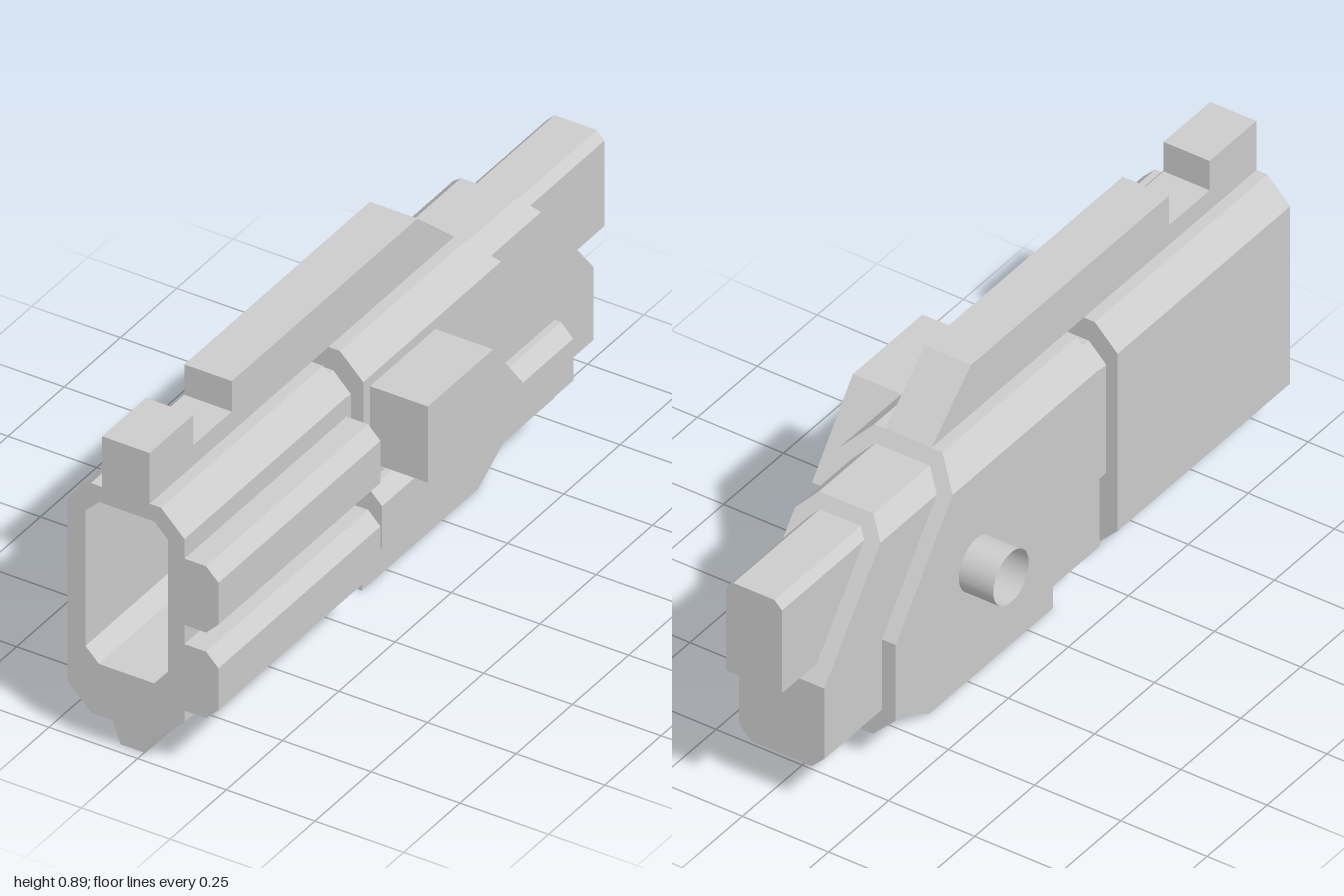
import * as THREE from 'three';
import { ConvexGeometry } from 'three/addons/geometries/ConvexGeometry.js';

const grey = new THREE.MeshStandardMaterial({ color: 0xcccccc, flatShading: true });
const tubeGrey = new THREE.MeshStandardMaterial({ color: 0xcccccc, side: THREE.DoubleSide });
const toShape = (pts) => new THREE.Shape(pts.map(([x, y]) => new THREE.Vector2(x, y)));

// Rectangle with chamfered corners; top and bottom chamfers may differ
function chamfered(x0, x1, y0, y1, top, bottom = top) {
  const pts = [[x0 + bottom, y0], [x1 - bottom, y0]];
  if (bottom) pts.push([x1, y0 + bottom]);
  pts.push([x1, y1 - top], [x1 - top, y1], [x0 + top, y1], [x0, y1 - top]);
  if (bottom) pts.push([x0, y0 + bottom]);
  return pts;
}

// Front outline (x, y) extruded between two depths, with an optional hole
function extrudeZ(pts, zBack, zFront, hole) {
  const shape = toShape(pts);
  if (hole) shape.holes.push(toShape(hole));
  const geo = new THREE.ExtrudeGeometry(shape, { depth: zFront - zBack, bevelEnabled: false });
  return geo.translate(0, 0, zBack);
}

// Side outline (z, y) extruded between two x positions
function extrudeX(pts, x0, x1) {
  const shape = toShape(pts.map(([z, y]) => [-z, y]));
  const geo = new THREE.ExtrudeGeometry(shape, { depth: x1 - x0, bevelEnabled: false });
  return geo.rotateY(Math.PI / 2).translate(x0, 0, 0);
}

// Convex block whose back slopes from (zTop, yTop) to (zBack, yBend), then drops straight down
function slopedBlock(pts, zFront, zTop, yTop, zBack, yBend) {
  const xs = pts.map((p) => p[0]);
  const all = [...pts, [Math.min(...xs), yBend], [Math.max(...xs), yBend]];
  const backAt = (y) => zBack + (zTop - zBack) * Math.max(0, (y - yBend) / (yTop - yBend));
  return new ConvexGeometry(all.flatMap(([x, y]) => [
    new THREE.Vector3(x, y, zFront),
    new THREE.Vector3(x, y, backAt(y)),
  ]));
}

// Side ridge section with chamfered outer corners
const ridge = (x1, y0, y1) => [
  [0.13, y0], [x1 - 0.035, y0], [x1, y0 + 0.035], [x1, y1 - 0.035], [x1 - 0.035, y1], [0.13, y1],
];

export function createModel() {
  const model = new THREE.Group();
  const add = (name, geo, mat = grey) => {
    const mesh = new THREE.Mesh(geo, mat);
    mesh.name = name;
    model.add(mesh);
    return mesh;
  };

  const body = chamfered(-0.198, 0.132, 0.085, 0.742, 0.066);
  const bore = chamfered(-0.147, 0.085, 0.232, 0.696, 0.038);

  // Hollow front housing with its bore floor
  add('frontHousing', extrudeZ(body, 0.28, 1, bore));
  add('boreFloor', extrudeZ(bore, 0.28, 0.32));

  // Neck joining the two housings
  add('neck', extrudeZ(chamfered(-0.165, 0.097, 0.26, 0.68, 0.05), 0.19, 0.29));

  // Rear housing, stepped rear block and tail
  add('rearHousing', slopedBlock(body, 0.205, -0.355, 0.742, -0.645, 0.375));
  add('rearBlock', slopedBlock(chamfered(-0.158, 0.09, 0.13, 0.71, 0.045, 0.037),
    -0.25, -0.615, 0.71, -0.885, 0.375));
  add('tail', extrudeZ(chamfered(-0.115, 0.048, 0.413, 0.68, 0.022, 0), -1, -0.55));

  // Ridges on the left side
  add('frontUpperRidge', extrudeZ(ridge(0.228, 0.43, 0.62), 0.28, 1));
  add('frontLowerRidge', extrudeZ(ridge(0.228, 0.185, 0.375), 0.28, 1));
  add('rearLowerRidge', extrudeZ(ridge(0.185, 0.185, 0.375), -0.645, 0.205));

  // Top rail with a notch and sloped back
  add('topRail', extrudeX([
    [1, 0.742], [1, 0.887], [0.805, 0.887], [0.805, 0.8], [0.635, 0.8],
    [0.635, 0.887], [-0.19, 0.887], [-0.355, 0.742],
  ], -0.1, 0.034));

  // Wedge-backed box on the left side
  add('sideBox', extrudeX([
    [0.175, 0.43], [0.175, 0.648], [-0.115, 0.648], [-0.285, 0.43],
  ], 0.13, 0.295));

  // Underside blocks
  add('frontFoot', extrudeZ([[-0.067, 0], [0.002, 0], [0.036, 0.086], [-0.1, 0.086]], 0.53, 0.97));
  add('rearFoot', extrudeX([
    [0.107, 0], [0.107, 0.086], [-0.55, 0.086], [-0.41, 0],
  ], -0.131, 0.066));

  // Open tube on the right side
  const tube = add('sideTube', new THREE.CylinderGeometry(0.074, 0.074, 0.1, 24, 1, true), tubeGrey);
  tube.rotation.z = Math.PI / 2;
  tube.position.set(-0.248, 0.413, -0.308);

  return model;
}
